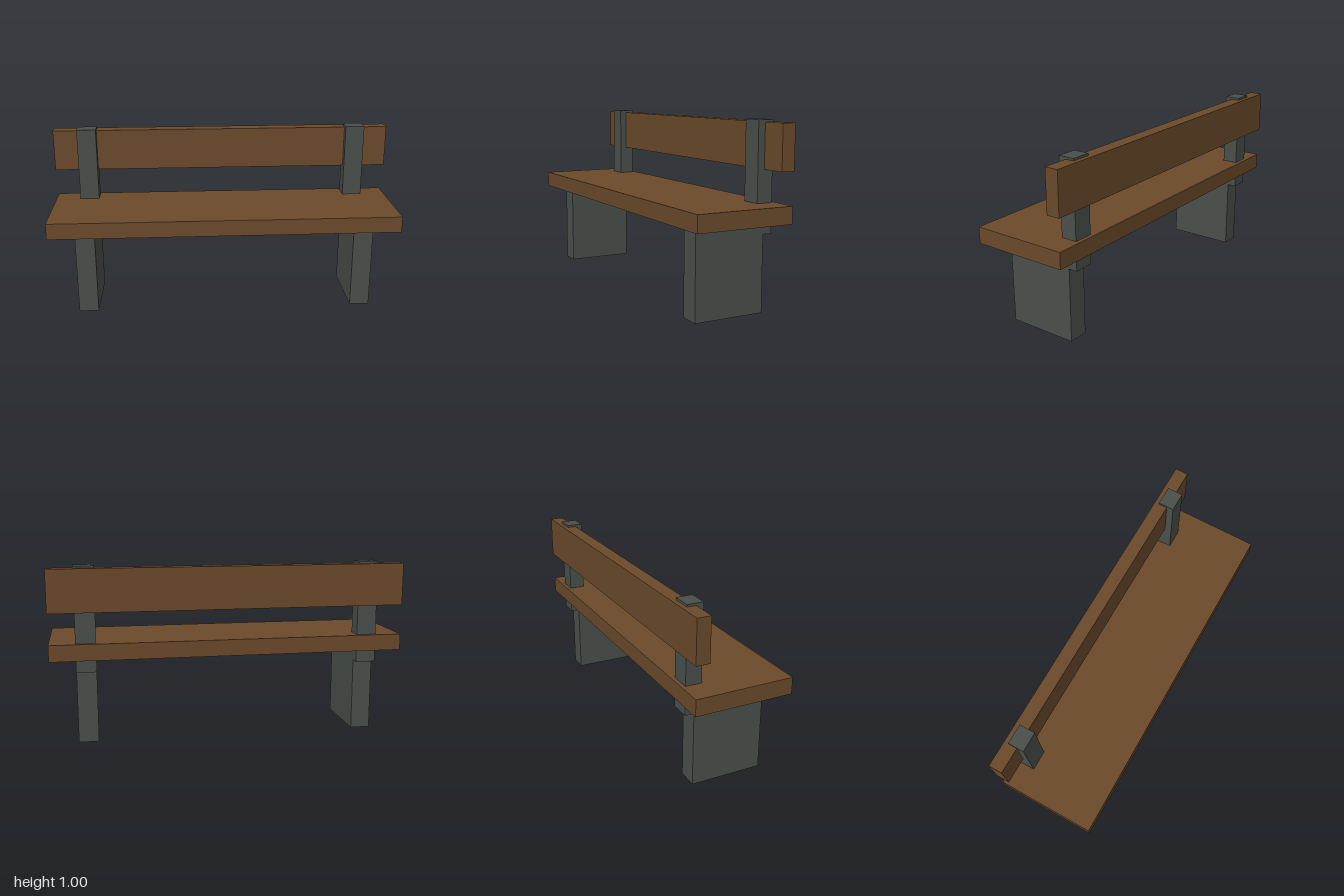
import * as THREE from 'three';

const wood = new THREE.MeshStandardMaterial({ color: 0x6b4a2b, side: THREE.DoubleSide });
wood.name = 'brown wood';
const iron = new THREE.MeshStandardMaterial({ color: 0x4b504b, side: THREE.DoubleSide });
iron.name = 'dark grey';

// Box given by its limits, hollow and open underneath
function openBox(name, material, [x0, x1], [y0, y1], [z0, z1]) {
  const geometry = new THREE.BoxGeometry(x1 - x0, y1 - y0, z1 - z0);
  const index = Array.from(geometry.index.array);
  index.splice(18, 6); // drop the bottom face
  geometry.setIndex(index);
  geometry.clearGroups();
  const mesh = new THREE.Mesh(geometry, material);
  mesh.name = name;
  mesh.position.set((x0 + x1) / 2, (y0 + y1) / 2, (z0 + z1) / 2);
  return mesh;
}

export function createModel() {
  const bench = new THREE.Group();
  bench.name = 'bench';

  // Planks
  bench.add(openBox('seat', wood, [-1, 1], [0.482, 0.574], [-0.272, 0.277]));
  bench.add(openBox('backrest', wood, [-1, 1], [0.746, 0.985], [-0.276, -0.2]));

  // Slab legs and back posts, one pair on each side
  for (const [side, s] of [['left', 1], ['right', -1]]) {
    const x = [s * 0.8 - 0.056, s * 0.8 + 0.056];
    bench.add(openBox(side + 'Leg', iron, x, [0, 0.505], [-0.2, 0.2]));
    bench.add(openBox(side + 'BackPost', iron, x, [0.413, 0.997], [-0.25, -0.16]));
  }
  return bench;
}
